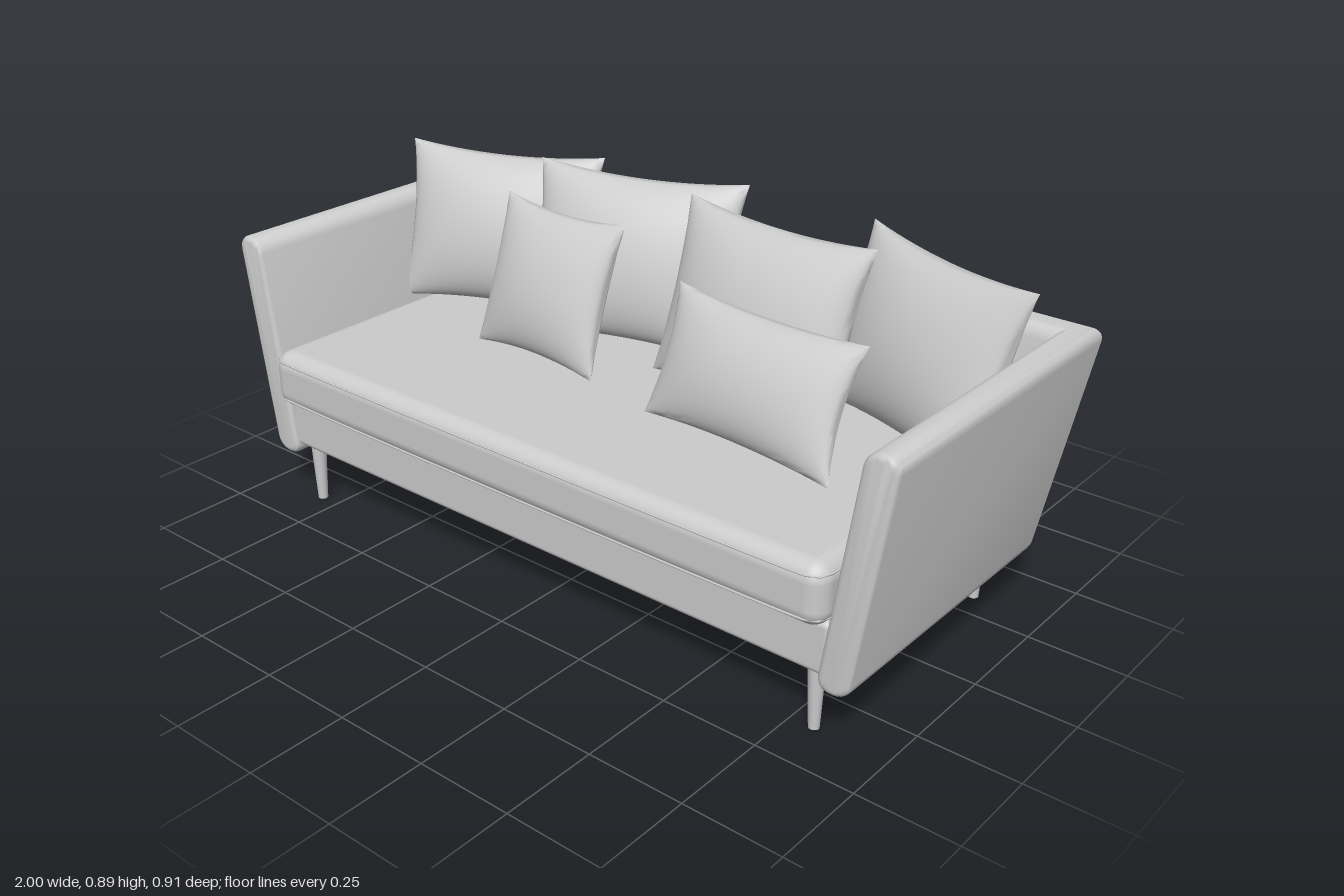
import * as THREE from 'three';
import { mergeGeometries, mergeVertices, toCreasedNormals } from 'three/addons/utils/BufferGeometryUtils.js';
import { RoundedBoxGeometry } from 'three/addons/geometries/RoundedBoxGeometry.js';

const material = new THREE.MeshStandardMaterial({ color: 0xcccccc, side: THREE.DoubleSide });

function add(parent, name, geometry, x = 0, y = 0, z = 0) {
  const mesh = new THREE.Mesh(geometry, material);
  mesh.name = name;
  mesh.position.set(x, y, z);
  parent.add(mesh);
  return mesh;
}

// Outward lean shared by the arms and the back
const lean = (y) => (y - 0.69) * 0.148;

// Rounded upright panel section as [outward offset, height], counterclockwise
function panelSection(inset) {
  const r = 0.038 - inset, w = 0.0425 - inset - r, h = 0.2975 - inset - r;
  const points = [];
  [[1, -1], [1, 1], [-1, 1], [-1, -1]].forEach(([sx, sy], corner) => {
    for (let k = 0; k <= 6; k++) {
      const a = (corner - 1 + k / 6) * Math.PI / 2;
      const y = 0.4325 + sy * h + r * Math.sin(a);
      points.push([sx * w + r * Math.cos(a) + lean(y), y]);
    }
  });
  return points;
}

// Arms and back: one section swept round a U with mitred corners
function shellGeometry() {
  const bevel = 0.015, half = [];
  for (let k = 0; k <= 4; k++) {
    const a = k / 4 * Math.PI / 2;
    const z = 0.415 - bevel * (1 - Math.cos(a));
    half.push(panelSection(bevel * (1 - Math.sin(a))).map(([d, y]) => [0.9575 + d, y, z]));
  }
  half.push(panelSection(0).map(([d, y]) => [0.9575 + d, y, -0.4125 - d]));
  const mirrored = half.map((ring) => ring.map(([x, y, z]) => [-x, y, z])).reverse();
  const rings = [...half, ...mirrored];
  const n = rings[0].length, position = rings.flat(2), index = [];
  for (let i = 0; i < rings.length - 1; i++) {
    for (let j = 0; j < n; j++) {
      const k = (j + 1) % n;
      const a = i * n + j, b = i * n + k, c = (i + 1) * n + k, d = (i + 1) * n + j;
      index.push(a, c, b, a, d, c);
    }
  }
  // Flat front ends of the two arms
  const last = (rings.length - 1) * n;
  for (let j = 1; j < n - 1; j++) {
    index.push(0, j, j + 1, last, last + j + 1, last + j);
  }
  const geometry = new THREE.BufferGeometry();
  geometry.setAttribute('position', new THREE.Float32BufferAttribute(position, 3));
  geometry.setIndex(index);
  return toCreasedNormals(geometry, 0.6);
}

// Stuffed pillow: two bulging faces, concave edges and pointed corners
function pillowGeometry(w, h, t) {
  const faces = [1, -1].map((side) => {
    const g = new THREE.PlaneGeometry(2, 2, 24, 24);
    if (side < 0) g.rotateY(Math.PI);
    const p = g.attributes.position;
    for (let i = 0; i < p.count; i++) {
      const u = Math.sin(p.getX(i) * Math.PI / 2), v = Math.sin(p.getY(i) * Math.PI / 2);
      const bulge = Math.pow(Math.max(0, (1 - u * u) * (1 - v * v)), 0.55);
      p.setXYZ(i,
        w / 2 * u * (1 - 0.08 * (1 - v * v)),
        h / 2 * v * (1 - 0.09 * (1 - u * u)),
        side * t / 2 * bulge);
    }
    g.deleteAttribute('uv');
    g.deleteAttribute('normal');
    return g;
  });
  return toCreasedNormals(mergeVertices(mergeGeometries(faces), 1e-5), 1);
}

// Thin sewn edge along a straight line
function seam(parent, name, from, to) {
  const line = new THREE.LineCurve3(new THREE.Vector3(...from), new THREE.Vector3(...to));
  add(parent, name, new THREE.TubeGeometry(line, 1, 0.0025, 6), 0, 0, 0);
}

// Piping loop round the seat cushion
function pipingGeometry(w, d, r) {
  const points = [];
  [[1, 1], [-1, 1], [-1, -1], [1, -1]].forEach(([sx, sz], corner) => {
    for (let k = 0; k <= 4; k++) {
      const a = (corner + k / 4) * Math.PI / 2;
      points.push(new THREE.Vector3(sx * (w - r) + r * Math.cos(a), 0, sz * (d - r) + r * Math.sin(a)));
    }
  });
  const path = new THREE.CatmullRomCurve3(points, true, 'centripetal');
  return new THREE.TubeGeometry(path, 160, 0.003, 6, true);
}

export function createModel() {
  const sofa = new THREE.Group();
  sofa.name = 'sofa';

  add(sofa, 'armsAndBack', shellGeometry());

  // Base and seat
  add(sofa, 'base', new RoundedBoxGeometry(1.72, 0.135, 0.74, 4, 0.015), 0, 0.2325, 0.035);
  const seat = new THREE.Group();
  seat.name = 'seat';
  sofa.add(seat);
  add(seat, 'seatCushion', new RoundedBoxGeometry(1.73, 0.155, 0.765, 6, 0.045), 0, 0.3725, 0.0695);
  for (const y of [0.425, 0.32]) {
    add(seat, 'seatPiping', pipingGeometry(0.861, 0.3785, 0.041), 0, y, 0.0695);
  }

  // Seams on the rear of the back
  const rear = (y) => -0.455 - lean(y);
  seam(sofa, 'backSeam', [-0.985, 0.63, rear(0.63)], [0.985, 0.63, rear(0.63)]);
  seam(sofa, 'backCentreSeam', [0, 0.63, rear(0.63)], [0, 0.175, rear(0.175)]);

  // Tapered legs: four corners and one in the middle
  const leg = new THREE.CylinderGeometry(0.021, 0.013, 0.18, 20);
  for (const [x, z] of [[-0.81, 0.365], [0.81, 0.365], [-0.81, -0.328], [0.81, -0.328], [0, 0.03]]) {
    add(sofa, 'leg', leg, x, 0.09, z);
  }

  // Pillows: name, size, centre, tilt back, turn
  const pillows = [
    ['rightBackPillow', [0.57, 0.44, 0.18], [-0.665, 0.655, -0.215], -0.3, 0.35],
    ['rightMiddlePillow', [0.59, 0.46, 0.18], [-0.21, 0.665, -0.24], -0.3, 0.27],
    ['leftMiddlePillow', [0.58, 0.455, 0.19], [0.27, 0.67, -0.14], -0.3, -0.09],
    ['leftBackPillow', [0.57, 0.45, 0.18], [0.675, 0.665, -0.22], -0.3, -0.35],
    ['smallSquarePillow', [0.41, 0.4, 0.14], [-0.29, 0.643, -0.005], -0.33, -0.04],
    ['smallLongPillow', [0.56, 0.325, 0.14], [0.41, 0.608, 0.08], -0.38, -0.08],
  ];
  for (const [name, size, centre, tilt, turn] of pillows) {
    const pillow = add(sofa, name, pillowGeometry(...size), ...centre);
    pillow.rotation.set(tilt, turn, 0, 'YXZ');
  }
  return sofa;
}
